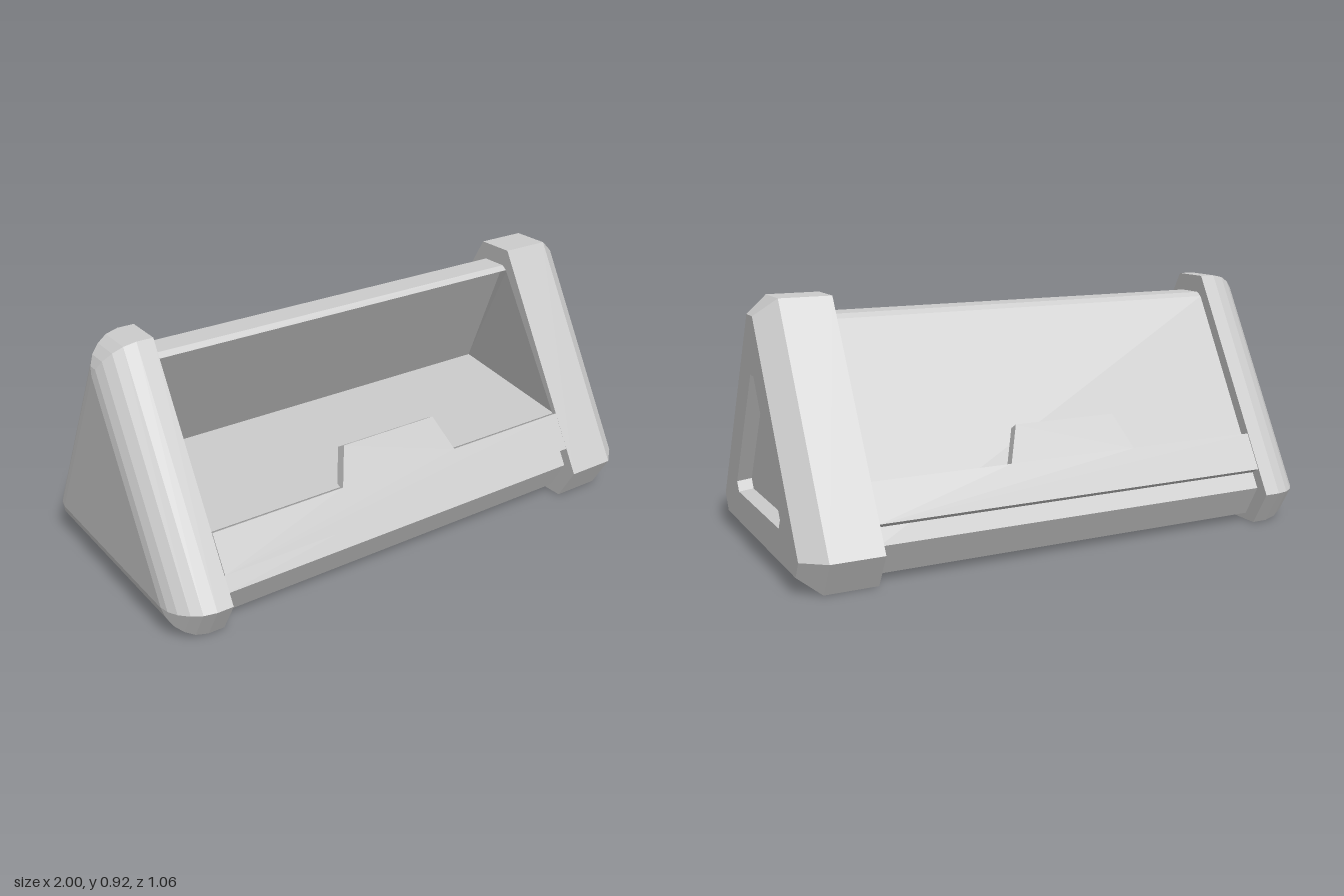
import * as THREE from 'three';

const material = new THREE.MeshStandardMaterial({ color: 0xcccccc, flatShading: true });
const thinMaterial = new THREE.MeshStandardMaterial({ color: 0xcccccc, flatShading: true, side: THREE.DoubleSide });
const S3 = Math.sqrt(3), CY = 0.3467; // centre height of the triangular section
const MID = -0.035;                   // middle of the span between the end caps

// Triangle with cut corners as [z, y] points: d = inset of the sides, c = half width of a cut
function section(d, c) {
  const apex = 2 * (CY - d), pts = [];
  for (let k = 0; k < 3; k++) {
    const a = k * 2 * Math.PI / 3, cos = Math.cos(a), sin = Math.sin(a);
    for (const u of [c, -c]) {
      const v = apex - c * S3;
      pts.push([u * cos - v * sin, CY + u * sin + v * cos]);
    }
  }
  return pts;
}
// Corner cuts close up as the section shrinks
const shrunk = (d) => section(d, Math.max(0.001, 0.072 * (1 - d / 0.12)));

function fromTriangles(pos) {
  const g = new THREE.BufferGeometry();
  g.setAttribute('position', new THREE.Float32BufferAttribute(pos, 3));
  g.computeVertexNormals();
  return g;
}

// Skin between sections; outward when x increases, inward when it decreases
function loft(rings) {
  const pos = [];
  for (let r = 0; r + 1 < rings.length; r++) {
    const [x0, a] = rings[r], [x1, b] = rings[r + 1];
    a.forEach((p, i) => {
      const j = (i + 1) % a.length;
      const A = [x0, p[1], p[0]], B = [x1, b[i][1], b[i][0]];
      const C = [x1, b[j][1], b[j][0]], D = [x0, a[j][1], a[j][0]];
      pos.push(...A, ...B, ...C, ...A, ...C, ...D);
    });
  }
  return fromTriangles(pos);
}

// Flat face across x, looking along dir (+1 or -1)
function face(x, dir, pts, hole) {
  const to2D = (list) => list.map(([z, y]) => new THREE.Vector2(-dir * z, y));
  const shape = new THREE.Shape(to2D(pts));
  if (hole) shape.holes.push(new THREE.Path(to2D(hole)));
  return new THREE.ShapeGeometry(shape).rotateY(dir * Math.PI / 2).translate(x, 0, 0);
}

function add(parent, name, geometry, mat = material) {
  const mesh = new THREE.Mesh(geometry, mat);
  mesh.name = name;
  parent.add(mesh);
  return mesh;
}

export function createModel() {
  const model = new THREE.Group();
  model.name = 'triangularCase';

  // Hollow opening, seen along x
  const cavity = [[0.385, 0.333], [0.07, 0.835], [0.04, 0.835], [-0.25, 0.333]];

  // Body: slimmer prism, open at the front
  const profile = [
    ...cavity.slice().reverse().slice(0, 3).reverse(), // front edge, top, back corner
    [0.385, 0.333], [0.375, 0.31], [0.473, 0.14], [0.41, 0.025], [-0.41, 0.025],
    [-0.473, 0.14], [-0.072, 0.835], [-0.05, 0.85], [0.05, 0.85],
  ];
  const bodyShape = new THREE.Shape(profile.map(([z, y]) => new THREE.Vector2(-z, y)));
  add(model, 'body', new THREE.ExtrudeGeometry(bodyShape, { depth: 1.54, bevelEnabled: false })
    .rotateY(Math.PI / 2).translate(-0.805, 0, 0));

  // Slanted end walls of the hollow, reaching back into the caps
  for (const [x, tip] of [[-0.805, -0.91], [0.735, 0.84]]) {
    const pos = [];
    for (let i = 0; i < 3; i++) {
      const [p, q] = [cavity[i], cavity[i + 1]];
      pos.push(x, p[1], p[0], x, q[1], q[0], tip, 0.333, -0.25);
    }
    pos.push(x, 0.333, -0.25, x, 0.333, 0.385, tip, 0.333, -0.25);
    add(model, 'hollowEndWall', fromTriangles(pos), thinMaterial);
  }

  // Rounded cap on the right end
  const rounded = new THREE.Group();
  rounded.name = 'roundedCap';
  model.add(rounded);
  const curve = [[-1, 0.12], [-0.993, 0.09], [-0.975, 0.058], [-0.945, 0.03], [-0.91, 0.01], [-0.865, 0], [-0.805, 0]];
  add(rounded, 'roundedShell', loft(curve.map(([x, d]) => [x, shrunk(d)])));
  add(rounded, 'roundedEndFace', face(-1, -1, shrunk(0.12)));
  add(rounded, 'roundedInnerFace', face(-0.805, 1, shrunk(0), cavity));

  // Chamfered cap on the left end, with a triangular recess
  const chamfered = new THREE.Group();
  chamfered.name = 'chamferedCap';
  model.add(chamfered);
  const rim = section(0.178, 0.02), floor = section(0.188, 0.02);
  add(chamfered, 'chamferedShell', loft([[0.73, shrunk(0)], [0.92, shrunk(0)], [1, shrunk(0.062)]]));
  add(chamfered, 'chamferedEndFace', face(1, 1, shrunk(0.062), rim));
  add(chamfered, 'recessWall', loft([[1, rim], [0.95, floor]]));
  add(chamfered, 'recessFloor', face(0.95, 1, floor));
  add(chamfered, 'chamferedInnerFace', face(0.73, -1, shrunk(0), cavity));

  // Raised strips with a centre tab, lying on the sloping front and back
  const up = (y) => y * 2 / S3;
  const strip = new THREE.Shape([
    [-0.768, 0.215], [0.768, 0.215], [0.768, 0.34], [0.25, 0.34], [0.198, 0.46],
    [-0.198, 0.46], [-0.25, 0.34], [-0.768, 0.34],
  ].map(([x, y]) => new THREE.Vector2(x, up(y))));
  for (const [name, turn] of [['frontStrip', 0], ['backStrip', Math.PI]]) {
    add(model, name, new THREE.ExtrudeGeometry(strip, { depth: 0.042, bevelEnabled: false })
      .translate(0, 0, -0.042).rotateX(-Math.PI / 6).translate(0, 0, 0.6)
      .rotateY(turn).translate(MID, 0, 0));
  }

  // Foot tabs under the body, growing out of the caps
  for (const side of [-1, 1]) {
    const foot = new THREE.Shape([[0.775, -0.26], [0.775, 0.26], [0.7, 0.19], [0.7, -0.19]]
      .map(([x, z]) => new THREE.Vector2(side * x, z)));
    add(model, 'footTab', new THREE.ExtrudeGeometry(foot, { depth: 0.03, bevelEnabled: false })
      .rotateX(-Math.PI / 2).translate(MID, 0.001, 0));
  }
  return model;
}
